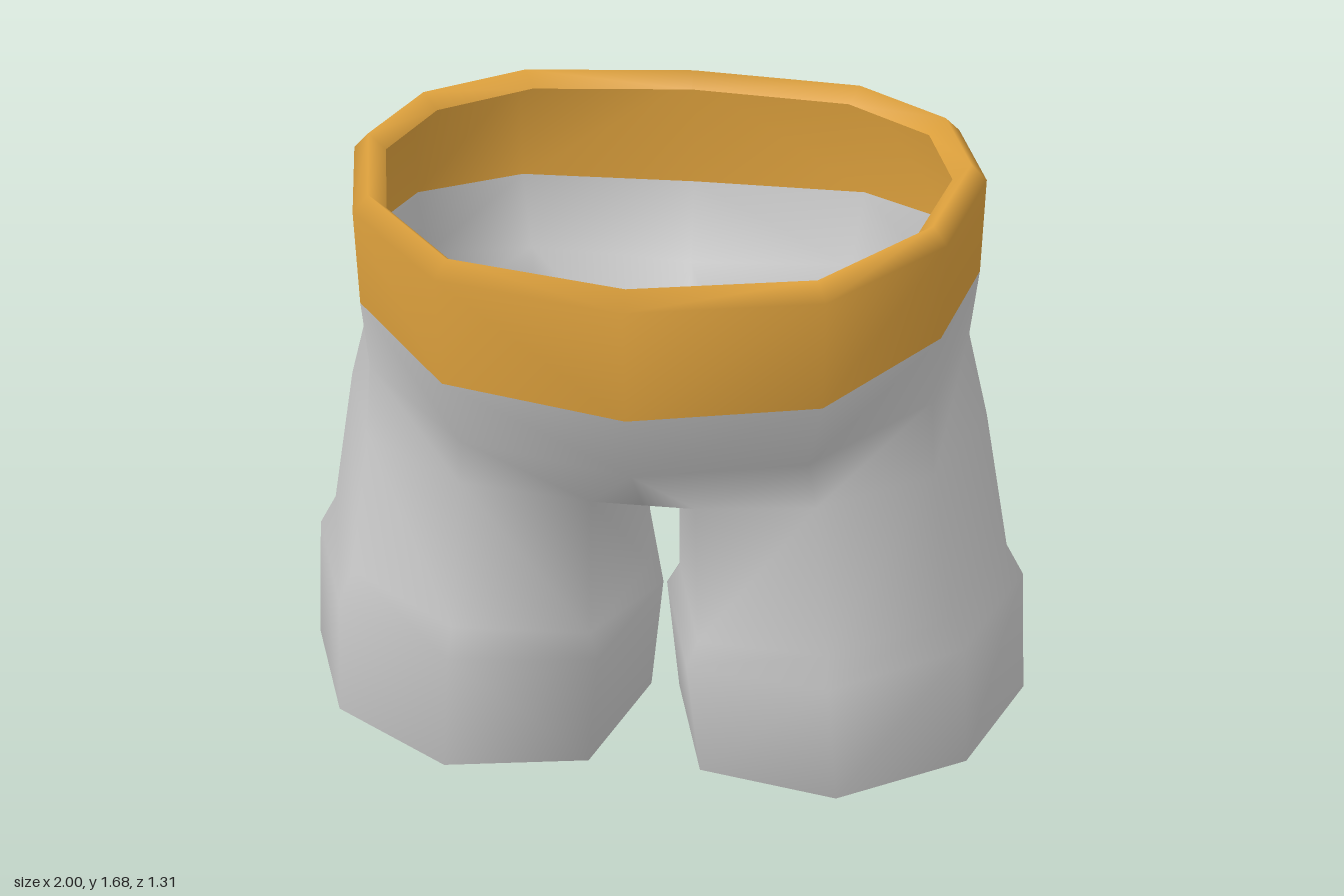
import * as THREE from 'three';
import { mergeVertices } from 'three/addons/utils/BufferGeometryUtils.js';

// Half rings run from the front centre round the left side to the back centre.
const BAND_BOTTOM = [[0, 1.275, 0.63], [0.45, 1.3, 0.55], [0.71, 1.37, 0.29], [0.795, 1.395, -0.05],
  [0.72, 1.385, -0.37], [0.475, 1.36, -0.595], [0, 1.34, -0.655]];
const BAND_TOP = [[0, 1.565, 0.655], [0.45, 1.58, 0.575], [0.71, 1.615, 0.3], [0.795, 1.64, -0.05],
  [0.72, 1.64, -0.375], [0.475, 1.64, -0.595], [0, 1.64, -0.655]];
const HIP = [[0, 1.08, 0.55], [0.42, 1.13, 0.52], [0.7, 1.19, 0.28], [0.78, 1.22, -0.05],
  [0.71, 1.2, -0.37], [0.45, 1.15, -0.57], [0, 1.12, -0.59]];

// Collects polygons on one side and their mirror images on the other.
// Each polygon is a triangle fan around its first corner.
class MirroredSurface {
  constructor() { this.positions = []; }
  face(first, ...rest) {
    for (const s of [1, -1]) {
      const p = s > 0 ? rest : [...rest].reverse();
      for (let i = 0; i < p.length - 1; i++) {
        for (const [x, y, z] of [first, p[i], p[i + 1]]) this.positions.push(s * x, y, z);
      }
    }
  }
  loft(lower, upper, closed = false) {
    const n = lower.length;
    for (let i = 0; i < (closed ? n : n - 1); i++) {
      const j = (i + 1) % n;
      this.face(lower[i], lower[j], upper[j], upper[i]);
    }
  }
  mesh(name, color) {
    let g = new THREE.BufferGeometry();
    g.setAttribute('position', new THREE.Float32BufferAttribute(this.positions, 3));
    g = mergeVertices(g, 1e-4);
    g.computeVertexNormals();
    const m = new THREE.Mesh(g, new THREE.MeshStandardMaterial({ color, side: THREE.DoubleSide }));
    m.name = name;
    return m;
  }
}

// Eight-sided, slightly tilted leg section, starting at the front and going outwards.
function legRing({ inner, outer, front, back, y }) {
  const cx = (inner + outer) / 2, rx = (outer - inner) / 2;
  const cz = (front + back) / 2, rz = (front - back) / 2;
  const [yOut, yFront, yBack, yDiag, yIn] = y;
  const towardsOut = (v) => v + (yOut - v) * 0.7;
  return [
    [cx, yFront, front], [cx + rx * 0.69, towardsOut(yFront), cz + rz * 0.66], [outer, yOut, cz],
    [cx + rx * 0.71, towardsOut(yBack), cz - rz * 0.71], [cx, yBack, back],
    [cx - rx * 0.77, yDiag, cz - rz * 0.78], [inner, yIn, cz], [cx - rx * 0.77, yDiag, cz + rz * 0.79],
  ];
}

// Leg sections from the thigh down to the edge of the sole
const LEG = [
  { inner: 0.04, outer: 0.84, front: 0.465, back: -0.53, y: [1.0, 0.98, 1.03, 0.89, 0.855] },
  { inner: 0.04, outer: 0.92, front: 0.465, back: -0.57, y: [0.6, 0.55, 0.55, 0.49, 0.46] },
  { inner: 0.005, outer: 0.97, front: 0.505, back: -0.615, y: [0.51, 0.475, 0.475, 0.43, 0.4] },
  { inner: 0.04, outer: 1.0, front: 0.47, back: -0.59, y: [0.14, 0.11, 0.11, 0.08, 0.05] },
  { inner: 0.12, outer: 0.945, front: 0.39, back: -0.52, y: [0.08, 0.06, 0.06, 0.042, 0] },
].map(legRing);

function createTrousers() {
  const s = new MirroredSurface();

  // Legs
  for (let i = 0; i < LEG.length - 1; i++) s.loft(LEG[i + 1], LEG[i], true);

  // Hips, joining the waist to the outer side of the legs
  const leg = LEG[0];
  s.loft(HIP, BAND_BOTTOM);
  s.loft(leg.slice(0, 5), HIP.slice(1, 6));

  // Crotch bridge
  const cf = [0, 0.89, leg[7][2]], cm = [0, 0.855, leg[6][2]], cb = [0, 0.89, leg[5][2]];
  s.face(cf, cm, leg[6], leg[7]);
  s.face(cm, cb, leg[5], leg[6]);

  // Front and back panels, folded along the groin from hip to crotch
  s.face(HIP[0], cf, leg[7]);
  s.face(HIP[1], HIP[0], leg[7], leg[0]);
  s.face(HIP[6], leg[5], cb);
  s.face(HIP[5], leg[4], leg[5], HIP[6]);

  return s.mesh('trousers', 0xcccccc);
}

// Closed ends of the legs, with a hard edge and a dip at the inner corner
function createSoles() {
  const s = new MirroredSurface();
  s.face(...LEG[LEG.length - 1].slice().reverse());
  return s.mesh('soles', 0xcccccc);
}

// Band with a rounded rim that rolls inwards
function createWaistband() {
  const s = new MirroredSurface();
  const inset = (kx, kz, dy) => BAND_TOP.map(([x, y, z]) => [x * kx, y + dy, z * kz]);
  const rim = inset(0.95, 0.935, 0.04);
  const lip = inset(0.895, 0.875, 0);
  s.loft(BAND_BOTTOM, BAND_TOP);
  s.loft(BAND_TOP, rim);
  s.loft(rim, lip);
  return s.mesh('waistband', 0xdb9f3c);
}

export function createModel() {
  const model = new THREE.Group();
  model.name = 'shortTrousers';
  model.add(createTrousers(), createSoles(), createWaistband());
  return model;
}
